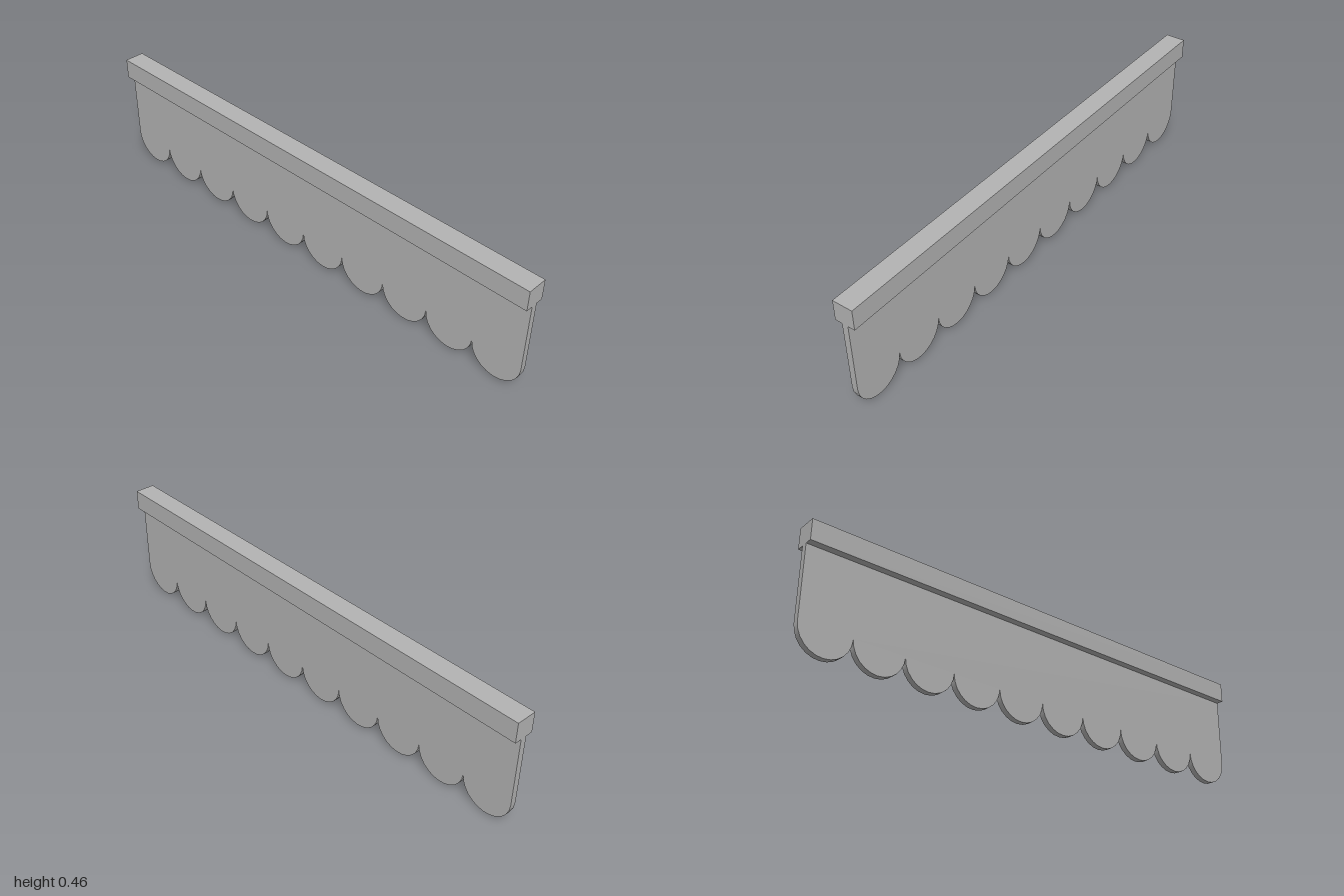
import * as THREE from 'three';
import { toCreasedNormals } from 'three/addons/utils/BufferGeometryUtils.js';

export function createModel() {
  const group = new THREE.Group();
  group.name = 'scallopedValance';
  const grey = new THREE.MeshStandardMaterial({ color: 0xb3b3b3 });
  grey.name = 'grey';

  const barSize = 0.08, barBottom = 0.38, length = 2;
  const scallops = 10, steps = 12, thickness = 0.024;
  const radius = length / scallops / 2;

  // Square rail along the top
  const rail = new THREE.Mesh(new THREE.BoxGeometry(barSize, barSize, length), grey);
  rail.name = 'topRail';
  rail.position.y = barBottom + barSize / 2;
  group.add(rail);

  // Hanging panel with a row of half-round scallops along its lower edge
  const points = [new THREE.Vector2(-1, barBottom), new THREE.Vector2(-1, radius)];
  for (let i = 0; i < scallops; i++) {
    const centre = -1 + radius * (2 * i + 1);
    for (let j = 1; j <= steps; j++) {
      const a = Math.PI * (1 + j / steps);
      points.push(new THREE.Vector2(centre + radius * Math.cos(a), radius + radius * Math.sin(a)));
    }
  }
  points.push(new THREE.Vector2(1, barBottom));

  const geometry = new THREE.ExtrudeGeometry(new THREE.Shape(points), {
    depth: thickness, bevelEnabled: false,
  });
  geometry.translate(0, 0, -thickness / 2);
  geometry.rotateY(Math.PI / 2);
  const panel = new THREE.Mesh(toCreasedNormals(geometry, Math.PI / 6), grey);
  panel.name = 'scallopedPanel';
  group.add(panel);

  return group;
}
